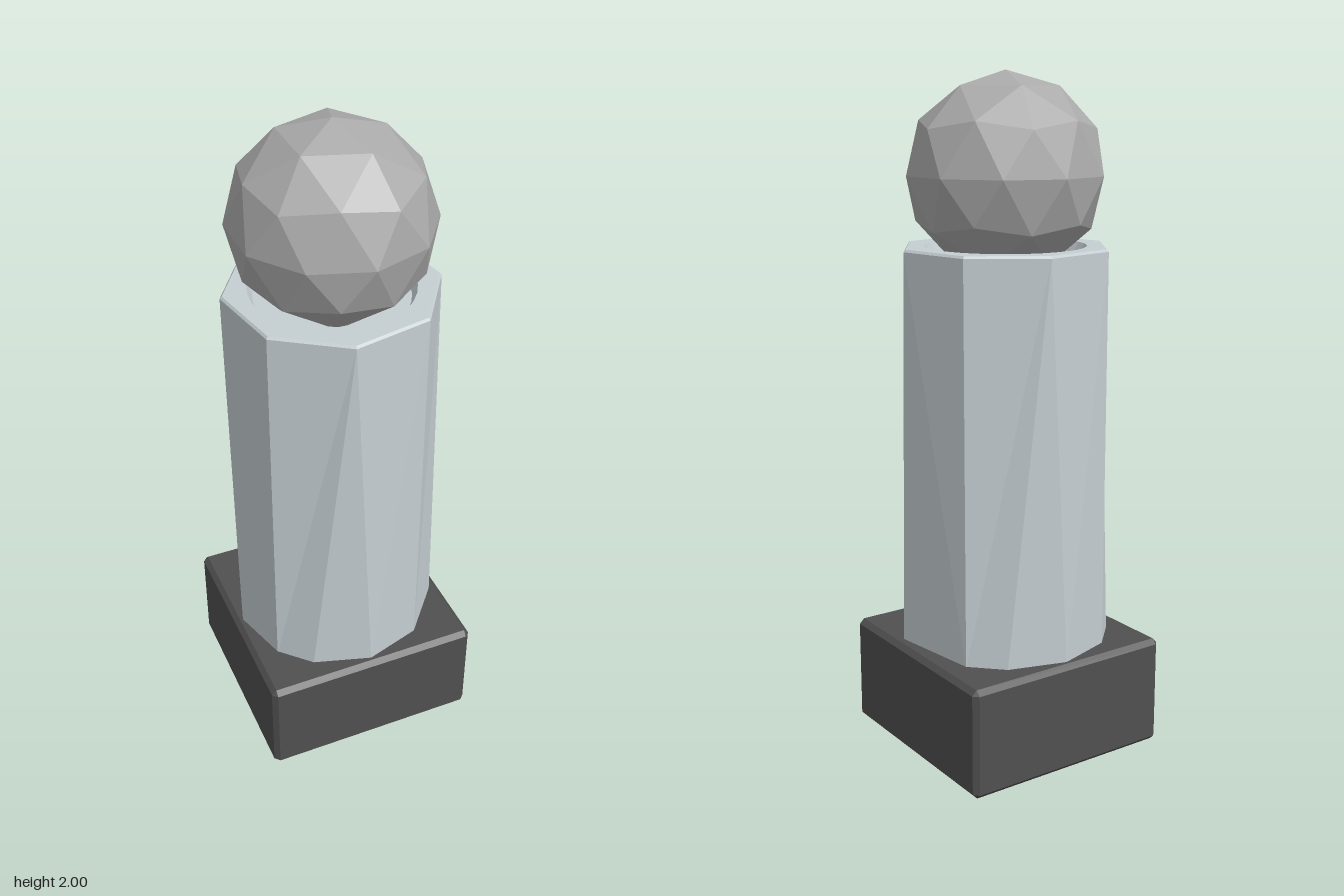
import * as THREE from 'three';
import { ConvexGeometry } from 'three/addons/geometries/ConvexGeometry.js';

const flat = (color, side = THREE.FrontSide) =>
  new THREE.MeshStandardMaterial({ color, side, flatShading: true });

function addMesh(group, name, geometry, material) {
  const mesh = new THREE.Mesh(geometry, material);
  mesh.name = name;
  group.add(mesh);
  return mesh;
}

// Box with all twelve edges chamfered by c
function chamferedBox(hx, hy, hz, c) {
  const points = [];
  for (const sx of [-1, 1]) for (const sy of [-1, 1]) for (const sz of [-1, 1])
    for (let axis = 0; axis < 3; axis++)
      points.push(new THREE.Vector3(
        sx * (hx - (axis === 0 ? 0 : c)),
        sy * (hy - (axis === 1 ? 0 : c)),
        sz * (hz - (axis === 2 ? 0 : c))));
  return new ConvexGeometry(points);
}

// A ring of points from [degrees, radius] pairs
function ring(pairs, y) {
  return pairs.map(([deg, r]) => {
    const a = THREE.MathUtils.degToRad(deg);
    return { deg, p: new THREE.Vector3(r * Math.cos(a), y, r * Math.sin(a)) };
  });
}

// Stitch two closed rings with different point counts, walking by angle
function stitch(low, high, out) {
  const at = (list, i) => list[i % list.length].p;
  const angle = (list, i) => list[i % list.length].deg + 360 * Math.floor(i / list.length);
  let i = 0, j = 0;
  while (i < low.length || j < high.length) {
    const stepLow = j >= high.length ||
      (i < low.length && angle(low, i + 1) <= angle(high, j + 1));
    if (stepLow) {
      out.push(at(low, i), at(high, j), at(low, i + 1));
      i++;
    } else {
      out.push(at(low, i), at(high, j), at(high, j + 1));
      j++;
    }
  }
}

export function createModel() {
  const group = new THREE.Group();
  const stone = flat(0xc5ced2);

  // Square base block
  addMesh(group, 'base', chamferedBox(0.335, 0.165, 0.335, 0.015), flat(0x505050))
    .position.y = 0.165;

  // Column: irregular faceted foot turning into an eight-sided top
  const R = 0.311;
  const foot = [56.25, 90, 123.75, 146.25, 180, 213.75, 236.25, 270, 303.75, 326.25]
    .map((d) => [d, R]);
  foot.push([379.5, 0.319]);
  const topAngles = Array.from({ length: 8 }, (_, k) => 56.25 + 45 * k);
  const footRing = ring(foot, 0.32);
  const shoulder = ring(topAngles.map((d) => [d, R]), 1.503);
  const rim = ring(topAngles.map((d) => [d, 0.305]), 1.51);
  const triangles = [];
  stitch(footRing, shoulder, triangles);
  stitch(shoulder, rim, triangles);
  const columnGeometry = new THREE.BufferGeometry().setFromPoints(triangles);
  columnGeometry.computeVertexNormals();
  addMesh(group, 'column', columnGeometry, stone);

  // Top face of the column with a round opening
  const face = new THREE.Shape(rim.map(({ p }) => new THREE.Vector2(p.x, -p.z)));
  face.holes.push(new THREE.Path().absarc(0, 0, 0.235, 0, Math.PI * 2));
  const faceGeometry = new THREE.ShapeGeometry(face, 16);
  faceGeometry.rotateX(-Math.PI / 2);
  addMesh(group, 'columnTop', faceGeometry, stone).position.y = 1.51;

  // Shallow socket that holds the ball
  const socket = new THREE.LatheGeometry([
    new THREE.Vector2(0, 1.48),
    new THREE.Vector2(0.22, 1.48),
    new THREE.Vector2(0.235, 1.51),
  ], 32);
  addMesh(group, 'socket', socket, flat(0xc5ced2, THREE.DoubleSide));

  // Faceted ball, turned so that one corner points straight up
  const ball = new THREE.IcosahedronGeometry(0.29, 1);
  ball.rotateZ(-Math.atan(2 / (1 + Math.sqrt(5))));
  addMesh(group, 'ball', ball, flat(0xaaaaaa)).position.y = 1.71;

  return group;
}
